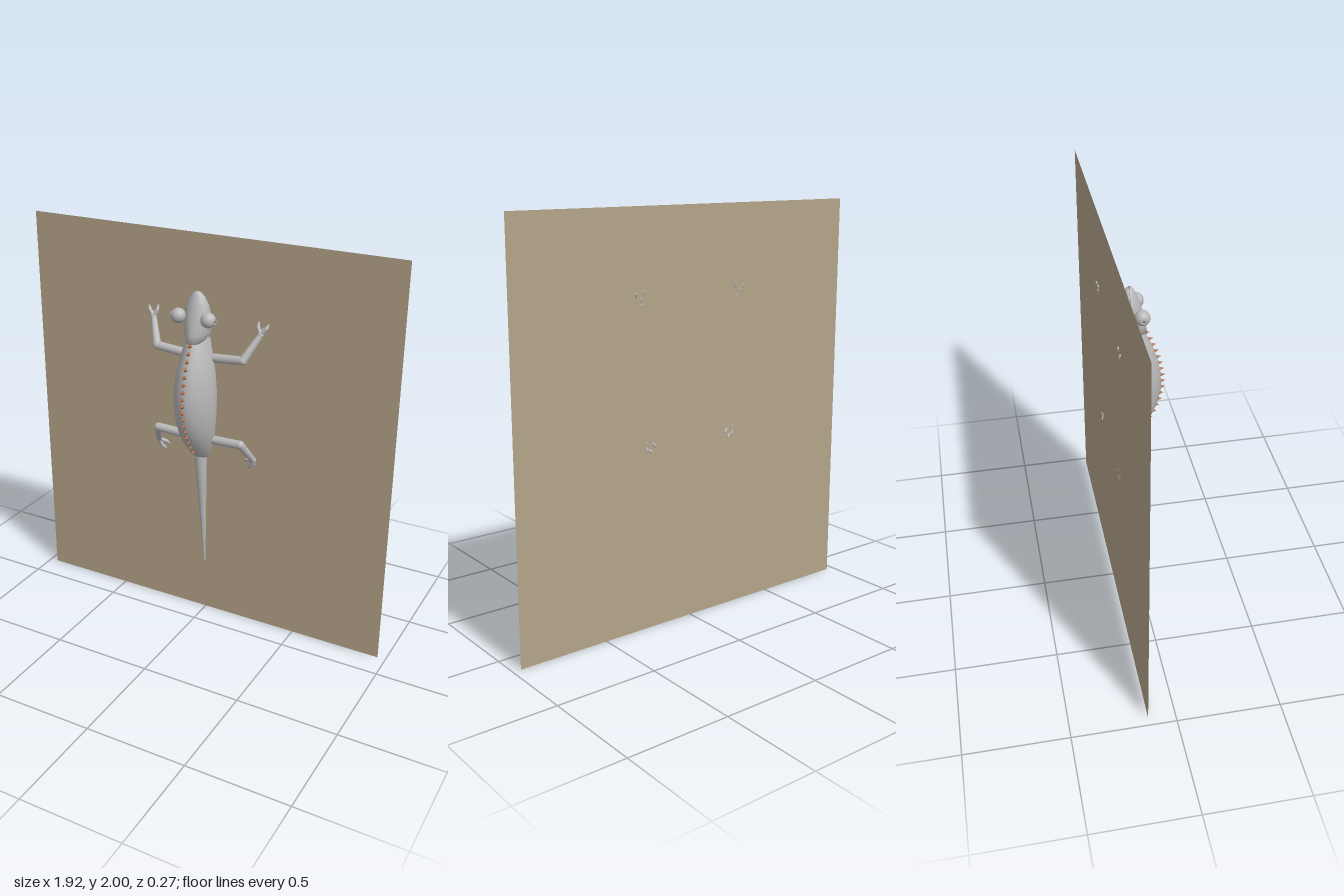
import * as THREE from 'three';

const skin = new THREE.MeshStandardMaterial({ color: 0xb8b8b8 });
skin.name = 'grey skin';
const spikeMat = new THREE.MeshStandardMaterial({ color: 0xb0602f });
spikeMat.name = 'rust spikes';
const pupilMat = new THREE.MeshStandardMaterial({ color: 0x6a6a6a });
pupilMat.name = 'dark pupil';
const wallMat = new THREE.MeshStandardMaterial({ color: 0xb4a48a, side: THREE.DoubleSide });
wallMat.name = 'tan wall';

const V = (a) => new THREE.Vector3(...a);

function add(parent, name, geometry, material) {
  const mesh = new THREE.Mesh(geometry, material);
  mesh.name = name;
  parent.add(mesh);
  return mesh;
}

// Upright loft through rows of [y, half width, back z, front z];
// ratio sets the widest depth, pinch narrows the front to a keel.
function loft(rows, ratio = 0.45, pinch = 0, sides = 28) {
  const pos = [], index = [];
  rows.forEach(([y, w, back, front], i) => {
    const zc = back + ratio * (front - back);
    for (let j = 0; j < sides; j++) {
      const t = (j / sides) * Math.PI * 2;
      const s = -Math.sin(t);
      const narrow = s > 0 ? 1 - pinch * s * s : 1;
      pos.push(w * Math.cos(t) * narrow, y, zc + s * (s > 0 ? front - zc : zc - back));
      if (i < rows.length - 1) {
        const k = (j + 1) % sides;
        const a = i * sides + j, b = i * sides + k;
        index.push(a, b, b + sides, a, b + sides, a + sides);
      }
    }
  });
  const g = new THREE.BufferGeometry();
  g.setAttribute('position', new THREE.Float32BufferAttribute(pos, 3));
  g.setIndex(index);
  g.computeVertexNormals();
  return g;
}

// Tapered rod between two points
function rod(parent, name, a, b, ra, rb) {
  const p = V(a), q = V(b), d = q.clone().sub(p);
  const mesh = add(parent, name, new THREE.CylinderGeometry(rb, ra, d.length(), 14), skin);
  mesh.position.copy(p).add(q).multiplyScalar(0.5);
  mesh.quaternion.setFromUnitVectors(new THREE.Vector3(0, 1, 0), d.normalize());
}

function ball(parent, name, at, r, material = skin) {
  const mesh = add(parent, name, new THREE.SphereGeometry(r, 20, 14), material);
  mesh.position.set(...at);
  return mesh;
}

// Leg: root, bend and ankle, then toes that grip the wall
function leg(parent, name, side, { root, bend, ankle, toes }) {
  const group = new THREE.Group();
  group.name = name;
  parent.add(group);
  const m = ([x, y, z]) => [x * side, y, z];
  rod(group, 'upperLeg', m(root), m(bend), 0.022, 0.021);
  ball(group, 'joint', m(bend), 0.0212);
  rod(group, 'lowerLeg', m(bend), m(ankle), 0.021, 0.014);
  ball(group, 'foot', m(ankle), 0.0155);
  for (const [mid, tip] of toes) {
    rod(group, 'toe', m(ankle), m(mid), 0.011, 0.009);
    ball(group, 'toeJoint', m(mid), 0.009);
    rod(group, 'toeEnd', m(mid), m(tip), 0.009, 0.005);
    ball(group, 'toeTip', m(tip), 0.005);
  }
}

export function createModel() {
  const model = new THREE.Group();
  model.name = 'climbingLizard';

  // Wall sheet
  add(model, 'wall', new THREE.PlaneGeometry(1.92, 2), wallMat).position.set(0, 1, -0.13);

  // Trunk
  const bodyRows = [
    [0.9, 0, -0.07, -0.07], [0.91, 0.035, -0.095, -0.04], [0.94, 0.056, -0.1, -0.01],
    [1.0, 0.077, -0.103, 0.038], [1.06, 0.09, -0.105, 0.073], [1.12, 0.098, -0.107, 0.098],
    [1.2, 0.103, -0.109, 0.115], [1.28, 0.102, -0.109, 0.113], [1.36, 0.094, -0.106, 0.098],
    [1.43, 0.081, -0.103, 0.075], [1.5, 0.063, -0.1, 0.045], [1.54, 0.052, -0.098, 0.025],
    [1.57, 0.04, -0.09, 0], [1.58, 0, -0.05, -0.05],
  ];
  add(model, 'body', loft(bodyRows, 0.42, 0.2), skin);

  // Tail
  add(model, 'tail', loft([
    [0.288, 0, -0.112, -0.112], [0.293, 0.006, -0.117, -0.106], [0.5, 0.013, -0.112, -0.083],
    [0.75, 0.023, -0.106, -0.053], [0.93, 0.031, -0.1, -0.03], [0.98, 0, -0.06, -0.06],
  ], 0.5, 0, 18), skin);

  // Head in two halves that meet at the mouth
  add(model, 'skull', loft([
    [1.51, 0, 0, 0], [1.52, 0.045, -0.045, 0.046], [1.56, 0.058, -0.045, 0.042],
    [1.61, 0.066, -0.045, 0.032], [1.66, 0.064, -0.045, 0.018], [1.7, 0.052, -0.044, 0.004],
    [1.735, 0.033, -0.042, -0.01], [1.752, 0.017, -0.038, -0.02], [1.758, 0, -0.03, -0.03],
  ], 0.18, 0.15), skin);
  add(model, 'jaw', loft([
    [1.5, 0, -0.07, -0.07], [1.52, 0.05, -0.1, -0.025], [1.58, 0.06, -0.102, -0.025],
    [1.64, 0.063, -0.094, -0.025], [1.69, 0.052, -0.081, -0.026], [1.73, 0.034, -0.065, -0.028],
    [1.748, 0.017, -0.052, -0.03], [1.753, 0, -0.04, -0.04],
  ], 0.75), skin);

  for (const side of [1, -1]) {
    const label = side > 0 ? 'left' : 'right';

    // Turret eye with ringed pupil
    ball(model, label + 'Eye', [0.078 * side, 1.64, 0.01], 0.036);
    const iris = add(model, label + 'EyeRing', new THREE.CylinderGeometry(0.015, 0.015, 0.006, 16), skin);
    iris.position.set(0.111 * side, 1.64, 0.01);
    iris.rotation.z = Math.PI / 2;
    ball(model, label + 'Pupil', [0.112 * side, 1.64, 0.01], 0.006, pupilMat);

    leg(model, label + 'FrontLeg', side, {
      root: [0.05, 1.435, -0.055], bend: [0.228, 1.452, -0.048], ankle: [0.284, 1.565, -0.116],
      toes: [
        [[0.309, 1.598, -0.122], [0.317, 1.615, -0.133]],
        [[0.268, 1.6, -0.122], [0.267, 1.622, -0.133]],
        [[0.286, 1.575, -0.122], [0.288, 1.59, -0.131]],
      ],
    });
    leg(model, label + 'HindLeg', side, {
      root: [0.04, 1.018, -0.05], bend: [0.225, 1.026, -0.045], ankle: [0.262, 0.925, -0.116],
      toes: [
        [[0.225, 0.917, -0.122], [0.212, 0.9, -0.133]],
        [[0.248, 0.888, -0.122], [0.23, 0.873, -0.133]],
        [[0.262, 0.9, -0.122], [0.258, 0.885, -0.131]],
      ],
    });
  }

  // Row of spikes along the back, standing out from the trunk
  const ridge = (y) => {
    const i = bodyRows.findIndex((r) => r[0] > y);
    const a = bodyRows[i - 1], b = bodyRows[i];
    return THREE.MathUtils.mapLinear(y, a[0], b[0], a[3], b[3]);
  };
  const spikeGeo = new THREE.ConeGeometry(0.013, 0.028, 4).toNonIndexed();
  spikeGeo.computeVertexNormals();
  spikeGeo.rotateX(Math.PI / 2);
  const spikes = new THREE.Group();
  spikes.name = 'backSpikes';
  model.add(spikes);
  for (let i = 0; i < 17; i++) {
    const y = 0.96 + i * 0.0345;
    const slope = (ridge(y + 0.01) - ridge(y - 0.01)) / 0.02;
    const spike = add(spikes, 'spike', spikeGeo, spikeMat);
    spike.position.set(0, y, ridge(y) + 0.008);
    spike.rotation.x = Math.atan(slope) * 0.4;
  }

  return model;
}
